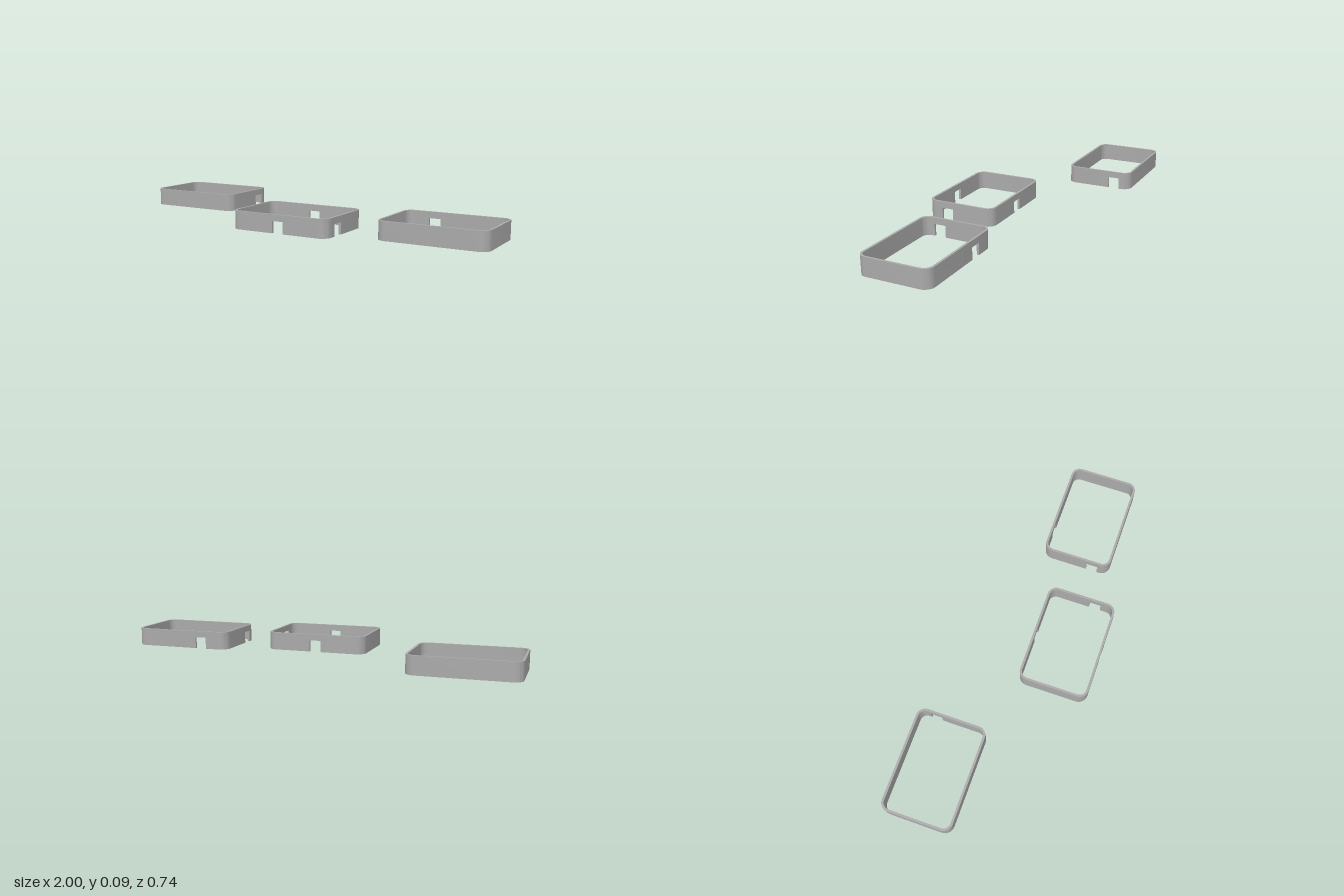
import * as THREE from 'three';
import { toCreasedNormals } from 'three/addons/utils/BufferGeometryUtils.js';

const W = 0.508, D = 0.346, H = 0.088, R = 0.045, T = 0.011;
const NOTCH_W = 0.057, NOTCH_H = 0.057;
const FRONT = 0, RIGHT = 1, BACK = 2, LEFT = 3;

// Outline of the rounded frame; segments flagged "open" stand above a notch
function outline(notches) {
  const points = [];
  const steps = 8;
  for (let side = 0; side < 4; side++) {
    const sx = side === 0 || side === 3 ? 1 : -1;
    const sz = side < 2 ? 1 : -1;
    for (let i = 0; i <= steps; i++) {
      const a = (side + i / steps) * Math.PI / 2;
      points.push({
        x: sx * (W / 2 - R) + R * Math.cos(a), z: sz * (D / 2 - R) + R * Math.sin(a),
        nx: Math.cos(a), nz: Math.sin(a), open: false,
      });
    }
    // Notch edges on the straight wall that follows this corner
    const notch = notches.find((n) => n.side === side);
    if (!notch) continue;
    const nx = [0, -1, 0, 1][side], nz = [1, 0, -1, 0][side];
    for (const end of [-1, 1]) {
      const shift = end * NOTCH_W / 2;
      points.push({
        x: nx ? nx * W / 2 : notch.at - nz * shift,
        z: nz ? nz * D / 2 : notch.at + nx * shift,
        nx, nz, open: end < 0,
      });
    }
  }
  return points;
}

// Thin wall swept along the outline, with square cutouts in its lower edge
function frameGeometry(notches) {
  const points = outline(notches);
  const pos = [];
  const quad = (a, b, c, d) => pos.push(...a, ...b, ...c, ...a, ...c, ...d);
  const outer = (p, y) => [p.x, y, p.z];
  const inner = (p, y) => [p.x - p.nx * T, y, p.z - p.nz * T];
  points.forEach((p, i) => {
    const q = points[(i + 1) % points.length];
    const y = p.open ? NOTCH_H : 0;
    quad(outer(p, y), outer(p, H), outer(q, H), outer(q, y));
    quad(inner(q, y), inner(q, H), inner(p, H), inner(p, y));
    quad(outer(p, H), inner(p, H), inner(q, H), outer(q, H));
    quad(outer(q, y), inner(q, y), inner(p, y), outer(p, y));
    if (p.open) {
      // Side faces of the notch
      quad(outer(p, 0), outer(p, y), inner(p, y), inner(p, 0));
      quad(inner(q, 0), inner(q, y), outer(q, y), outer(q, 0));
    }
  });
  const geometry = new THREE.BufferGeometry();
  geometry.setAttribute('position', new THREE.Float32BufferAttribute(pos, 3));
  return toCreasedNormals(geometry, 0.6);
}

export function createModel() {
  const group = new THREE.Group();
  group.name = 'notchedFrames';
  const grey = new THREE.MeshStandardMaterial({ color: 0xaaaaaa });
  grey.name = 'grey';

  const frames = [
    { name: 'rightFrame', x: -0.746, z: -0.195, notches: [{ side: LEFT, at: -0.086 }] },
    {
      name: 'middleFrame', x: 0.051, z: 0.195,
      notches: [{ side: FRONT, at: 0 }, { side: BACK, at: 0 }, { side: LEFT, at: 0.067 }],
    },
    {
      name: 'leftFrame', x: 0.746, z: 0.096,
      notches: [{ side: BACK, at: -0.11 }, { side: RIGHT, at: 0.086 }],
    },
  ];
  for (const { name, x, z, notches } of frames) {
    const mesh = new THREE.Mesh(frameGeometry(notches), grey);
    mesh.name = name;
    mesh.position.set(x, 0, z);
    group.add(mesh);
  }
  return group;
}
